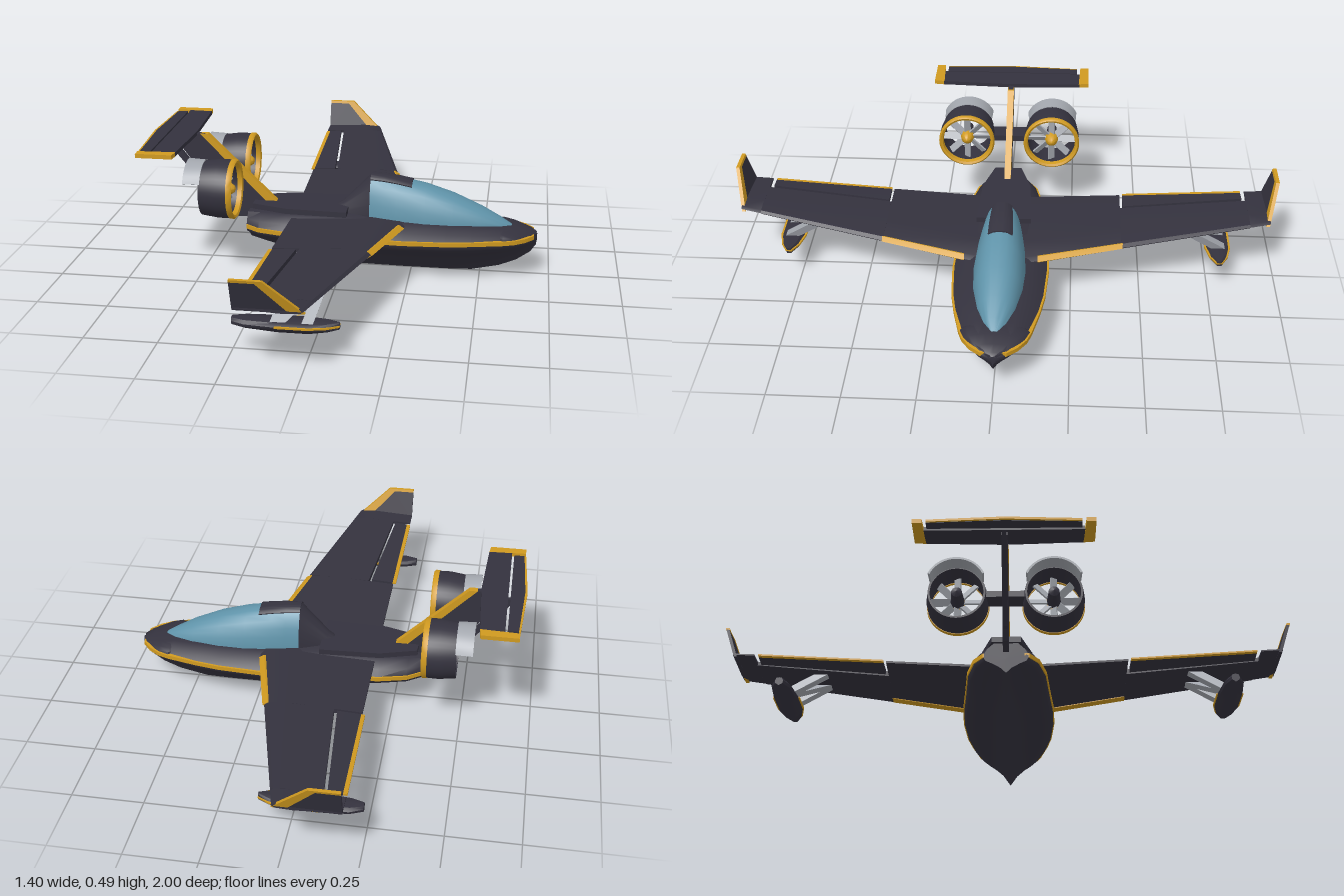
import * as THREE from 'three';
import { toCreasedNormals } from 'three/addons/utils/BufferGeometryUtils.js';

const paint = (name, color) => Object.assign(new THREE.MeshStandardMaterial({ color }), { name });

// Make a plain triangle list that faces outward, with sharp creases kept
function finish(geo, crease = 0.6) {
  const g = geo.index ? geo.toNonIndexed() : geo;
  const p = g.attributes.position.array.slice();
  const a = new THREE.Vector3(), b = new THREE.Vector3(), c = new THREE.Vector3();
  let volume = 0;
  for (let i = 0; i < p.length; i += 9) {
    a.fromArray(p, i); b.fromArray(p, i + 3); c.fromArray(p, i + 6);
    volume += a.dot(b.cross(c));
  }
  if (volume < 0) {
    for (let i = 0; i < p.length; i += 9) {
      for (let k = 3; k < 6; k++) [p[i + k], p[i + k + 3]] = [p[i + k + 3], p[i + k]];
    }
  }
  const out = new THREE.BufferGeometry();
  out.setAttribute('position', new THREE.BufferAttribute(p, 3));
  return toCreasedNormals(out, crease);
}

// Skin over a row of closed rings of [x, y, z], with end caps
function loft(rings) {
  const n = rings[0].length, pos = rings.flat(2), idx = [];
  for (let i = 0; i < rings.length - 1; i++) {
    for (let j = 0; j < n; j++) {
      const a = i * n + j, b = i * n + (j + 1) % n;
      idx.push(a, b, a + n, b, b + n, a + n);
    }
  }
  [0, rings.length - 1].forEach((r, end) => {
    const centre = pos.length / 3;
    for (let k = 0; k < 3; k++) pos.push(rings[r].reduce((s, q) => s + q[k], 0) / n);
    for (let j = 0; j < n; j++) {
      const a = r * n + j, b = r * n + (j + 1) % n;
      end ? idx.push(centre, a, b) : idx.push(centre, b, a);
    }
  });
  const g = new THREE.BufferGeometry();
  g.setAttribute('position', new THREE.Float32BufferAttribute(pos, 3));
  g.setIndex(idx);
  return g;
}

// Flat panel drawn in x and y, centred on z = 0
function plate(points, depth) {
  const shape = new THREE.Shape(points.map(q => new THREE.Vector2(...q)));
  return new THREE.ExtrudeGeometry(shape, { depth, bevelEnabled: false }).translate(0, 0, -depth / 2);
}
const flatPlate = (points, depth, y) => plate(points, depth).rotateX(Math.PI / 2).translate(0, y, 0);

// Ring spun about the x axis from [x, radius] points
const spin = (points) => new THREE.LatheGeometry(points.map(([x, r]) => new THREE.Vector2(r, x)), 40).rotateZ(-Math.PI / 2);

// Canopy section, arched from angle a0 to a1 with a small outward offset
function arch([x, w, top], a0, a1, grow) {
  return Array.from({ length: 15 }, (_, i) => {
    const a = a0 + (a1 - a0) * i / 14, c = Math.cos(a);
    return [x, 0.18 + (top - 0.18 + grow) * Math.sin(a), (w + grow) * Math.sign(c) * Math.abs(c) ** 0.85];
  });
}

// Wing section at span z, from the front edge back to xBack
const front = (z) => 0.26 - 0.25 * z;
const wingY = (z) => 0.191 + 0.052 * z;
function wingRing(z, xBack, tail) {
  const f = front(z), c = f - xBack, y = wingY(z), t = 0.038 - 0.018 * z;
  return [[f, 0], [f - 0.05 * c, 0.33 * t], [f - 0.3 * c, 0.5 * t], [xBack, tail * t],
    [xBack, -tail * t], [f - 0.3 * c, -0.5 * t], [f - 0.05 * c, -0.36 * t]].map(([x, h]) => [x, y + h, z]);
}

export function createModel() {
  const model = new THREE.Group();
  model.name = 'seaplane';
  const dark = paint('charcoal', 0x34323e), gold = paint('gold', 0xd09a20);
  const glass = paint('blue glass', 0x5f93a9), grey = paint('light grey', 0xa3a7ae);

  const add = (name, geo, mat, crease) => {
    const mesh = new THREE.Mesh(finish(geo, crease), mat);
    mesh.name = name;
    model.add(mesh);
  };
  const pair = (name, geo, mat, crease) => {
    add(name + 'Left', geo.clone().scale(1, 1, -1), mat, crease);
    add(name + 'Right', geo, mat, crease);
  };

  // Hull: x, half width, keel, deck
  const hull = [[-0.35, 0.075, 0.09, 0.2], [-0.3, 0.11, 0.075, 0.205], [-0.2, 0.135, 0.047, 0.21],
    [-0.03, 0.15, 0.006, 0.215], [0.1, 0.163, 0.002, 0.212], [0.23, 0.167, 0, 0.205], [0.38, 0.158, 0, 0.2],
    [0.47, 0.143, 0.003, 0.197], [0.57, 0.115, 0.025, 0.19], [0.63, 0.09, 0.05, 0.178],
    [0.68, 0.05, 0.085, 0.163], [0.7, 0.012, 0.115, 0.155]];
  add('hull', loft(hull.map(([x, w, keel, top]) => {
    const d = 0.14 - keel;
    const half = [[0.55, top], [0.85, 0.165 + (top - 0.165) * 0.4], [1, 0.16], [1, 0.145], [0.93, 0.14 - 0.1 * d],
      [0.6, 0.14 - 0.33 * d], [0.25, 0.14 - 0.64 * d], [0.06, 0.14 - 0.92 * d]].map(([f, y]) => [x, y, f * w]);
    return [[x, top, 0], ...half, [x, keel, 0], ...half.map(([a, b, c]) => [a, b, -c]).reverse()];
  })), dark, 0.7);

  // Nose cap, wider than the hull behind it
  const cap = [[0.565, 0.105, 0.19], [0.58, 0.118, 0.19], [0.62, 0.104, 0.184], [0.66, 0.076, 0.174], [0.69, 0.04, 0.163], [0.702, 0.008, 0.156]];
  add('noseCap', loft(cap.map(([x, w, top]) => Array.from({ length: 20 }, (_, i) => {
    const a = i / 10 * Math.PI;
    return [x, (top + 0.13) / 2 + (top - 0.13) / 2 * Math.sin(a), w * Math.cos(a)];
  }))), dark, 0.8);

  // Gold line along each side of the hull
  const line = [...hull.slice(0, 8), ...cap.slice(1, 5)];
  pair('hullStripe', loft(line.map(([x, w]) => [[x, 0.163, w - 0.012], [x, 0.162, w + 0.004], [x, 0.147, w + 0.004], [x, 0.146, w - 0.012]])), gold);

  // Canopy, rear fairing and roof hatch
  const bubble = [[0.1, 0.072, 0.355], [0.15, 0.08, 0.352], [0.2, 0.086, 0.345], [0.3, 0.092, 0.324], [0.4, 0.086, 0.292],
    [0.5, 0.066, 0.248], [0.57, 0.04, 0.21], [0.61, 0.012, 0.187]];
  add('canopy', loft(bubble.map(s => arch(s, 0, Math.PI, 0))), glass, 0.7);
  add('canopyFairing', loft([[-0.06, 0.02, 0.212], [0, 0.036, 0.25], [0.1, 0.073, 0.356]].map(s => arch(s, 0, Math.PI, 0))), dark);
  add('roofHatch', loft([...bubble.slice(0, 3), [0.25, 0.089, 0.335]].map(s =>
    [...arch(s, 1.15, Math.PI - 1.15, 0.004), ...arch(s, 1.15, Math.PI - 1.15, -0.003).reverse()])), dark);
  add('deckPanel', flatPlate([[-0.33, -0.05], [-0.2, -0.09], [0.02, -0.1], [0.02, 0.1], [-0.2, 0.09], [-0.33, 0.05]], 0.02, 0.225), dark);

  // Wings with a bay for the flap
  pair('innerWing', loft([wingRing(0, -0.18, 0.12), wingRing(0.425, -0.185, 0.12)]), dark);
  pair('midWing', loft([wingRing(0.425, -0.088, 0.32), wingRing(0.89, -0.13, 0.32)]), dark);
  pair('outerWing', loft([wingRing(0.89, -0.2, 0.12), wingRing(0.965, -0.2, 0.12)]), dark);
  const strip = (z0, z1, a0, b0, a1, b1, t0, t1) => loft([[z0, a0, b0], [z1, a1, b1]].map(([z, a, b]) =>
    [[a, wingY(z) + t0, z], [b, wingY(z) + t1, z], [b, wingY(z) - t1, z], [a, wingY(z) - t0, z]]));
  pair('flap', strip(0.435, 0.875, -0.1, -0.182, -0.14, -0.188, 0.009, 0.004), dark);
  pair('flapEdge', strip(0.435, 0.875, -0.182, -0.195, -0.188, -0.202, 0.004, 0.003), gold);
  pair('wingFrontEdge', loft([0.13, 0.43].map(z => {
    const f = front(z), y = wingY(z), t = 0.038 - 0.018 * z;
    return [[f + 0.006, y], [f - 0.012, y + 0.36 * t], [f - 0.02, y + 0.3 * t], [f - 0.02, y - 0.3 * t],
      [f - 0.055, y - 0.42 * t], [f - 0.055, y - 0.5 * t], [f - 0.012, y - 0.42 * t]].map(([x, h]) => [x, h, z]);
  })), gold);

  // Winglets lean outward
  const lean = (g) => {
    const p = g.attributes.position;
    for (let i = 0; i < p.count; i++) p.setZ(i, p.getZ(i) + 0.957 + (p.getY(i) - 0.235) * 0.33);
    return g;
  };
  pair('winglet', lean(plate([[-0.2, 0.232], [-0.01, 0.232], [-0.118, 0.338], [-0.2, 0.338]], 0.011)), dark);
  pair('wingletEdge', lean(plate([[-0.025, 0.232], [0.022, 0.232], [-0.1, 0.345], [-0.2, 0.345], [-0.2, 0.336], [-0.122, 0.336]], 0.013)), gold);

  // Wing floats: x, half width, bottom
  const float = [[-0.243, 0.014, 0.1], [-0.2, 0.034, 0.09], [-0.1, 0.044, 0.082], [0, 0.044, 0.082], [0.06, 0.03, 0.092], [0.1, 0.008, 0.108]];
  pair('float', loft(float.map(([x, w, low]) => [[0, 0.13], [0.7, 0.128], [1, 0.118], [0.9, 0.108], [0, low], [-0.9, 0.108], [-1, 0.118], [-0.7, 0.128]]
    .map(([f, y]) => [x, y, 0.785 + f * w]))), dark);
  pair('floatTrim', loft(float.slice(2).map(([x, w]) => [[1, 0.121], [1, 0.115], [-1, 0.115], [-1, 0.121]]
    .map(([f, y]) => [x, y, 0.785 + f * (w + 0.003)]))), gold);

  // Slanted struts: x at the float, x at the wing
  for (const [i, [low, high]] of [[-0.1, -0.07], [0, 0.03], [-0.09, 0.02]].entries()) {
    pair('floatStrut' + (i + 1), loft([[low, 0.125, 0.79], [high, 0.212, 0.67]].map(([x, y, z]) =>
      [[x - 0.018, y, z - 0.025], [x + 0.018, y, z - 0.025], [x + 0.018, y, z + 0.025], [x - 0.018, y, z + 0.025]])), grey);
  }

  // Tail fin and rudder
  add('fin', plate([[-0.25, 0.2], [-0.51, 0.48], [-0.62, 0.48], [-0.625, 0.46], [-0.425, 0.2], [-0.45, 0.19], [-0.43, 0.168], [-0.34, 0.168]], 0.02), dark);
  add('finEdge', plate([[-0.22, 0.208], [-0.5, 0.48], [-0.528, 0.48], [-0.265, 0.208]], 0.024), gold);
  add('rudder', plate([[-0.633, 0.455], [-0.664, 0.455], [-0.462, 0.208], [-0.44, 0.208]], 0.014), dark);

  // Tailplane and elevator
  add('tailplane', flatPlate([[-0.635, -0.265], [-0.552, -0.265], [-0.54, 0], [-0.552, 0.265], [-0.635, 0.265]], 0.014, 0.48), dark);
  add('elevator', flatPlate([[-0.643, -0.255], [-0.68, -0.255], [-0.692, 0], [-0.68, 0.255], [-0.643, 0.255]], 0.01, 0.48), dark);
  add('elevatorEdge', flatPlate([[-0.679, -0.255], [-0.686, -0.255], [-0.7, 0], [-0.686, 0.255], [-0.679, 0.255], [-0.691, 0]], 0.008, 0.48), gold);
  pair('tailTip', flatPlate([[-0.685, 0.268], [-0.552, 0.262], [-0.556, 0.3], [-0.685, 0.3]], 0.015, 0.48), gold);

  // Ducted fans
  const fanY = 0.328, fanZ = 0.163;
  const fan = (name, geo, mat, crease) => pair(name, geo.translate(0, fanY, fanZ), mat, crease);
  fan('duct', spin([[-0.375, 0.092], [-0.375, 0.104], [-0.42, 0.105], [-0.48, 0.097], [-0.48, 0.09], [-0.42, 0.09], [-0.375, 0.092]]), dark);
  fan('ductLip', spin([[-0.38, 0.09], [-0.38, 0.106], [-0.366, 0.107], [-0.36, 0.101], [-0.364, 0.093], [-0.38, 0.09]]), gold, 0.9);
  fan('spinner', spin([[-0.405, 0], [-0.405, 0.026], [-0.385, 0.022], [-0.37, 0.012], [-0.365, 0]]), gold);
  fan('fanMotor', spin([[-0.49, 0], [-0.48, 0.018], [-0.405, 0.024], [-0.405, 0]]), dark);
  for (let i = 0; i < 8; i++) {
    const blade = new THREE.BoxGeometry(0.006, 0.07, 0.026).rotateY(0.6).translate(-0.405, 0.056, 0).rotateX(i * Math.PI / 4);
    fan('fanBlade' + (i + 1), blade, grey);
  }
  // Curved deflector behind the top of each duct
  fan('deflector', loft(Array.from({ length: 17 }, (_, i) => {
    const a = 0.42 + i / 16 * (Math.PI - 0.84), c = Math.cos(a), s = Math.sin(a);
    return [[-0.475, 0.1], [-0.535, 0.103], [-0.535, 0.096], [-0.475, 0.092]].map(([x, r]) => [x, r * s, r * c]);
  })), grey);
  pair('ductMount', new THREE.BoxGeometry(0.07, 0.022, 0.07).translate(-0.43, fanY, 0.035), dark);

  return model;
}
